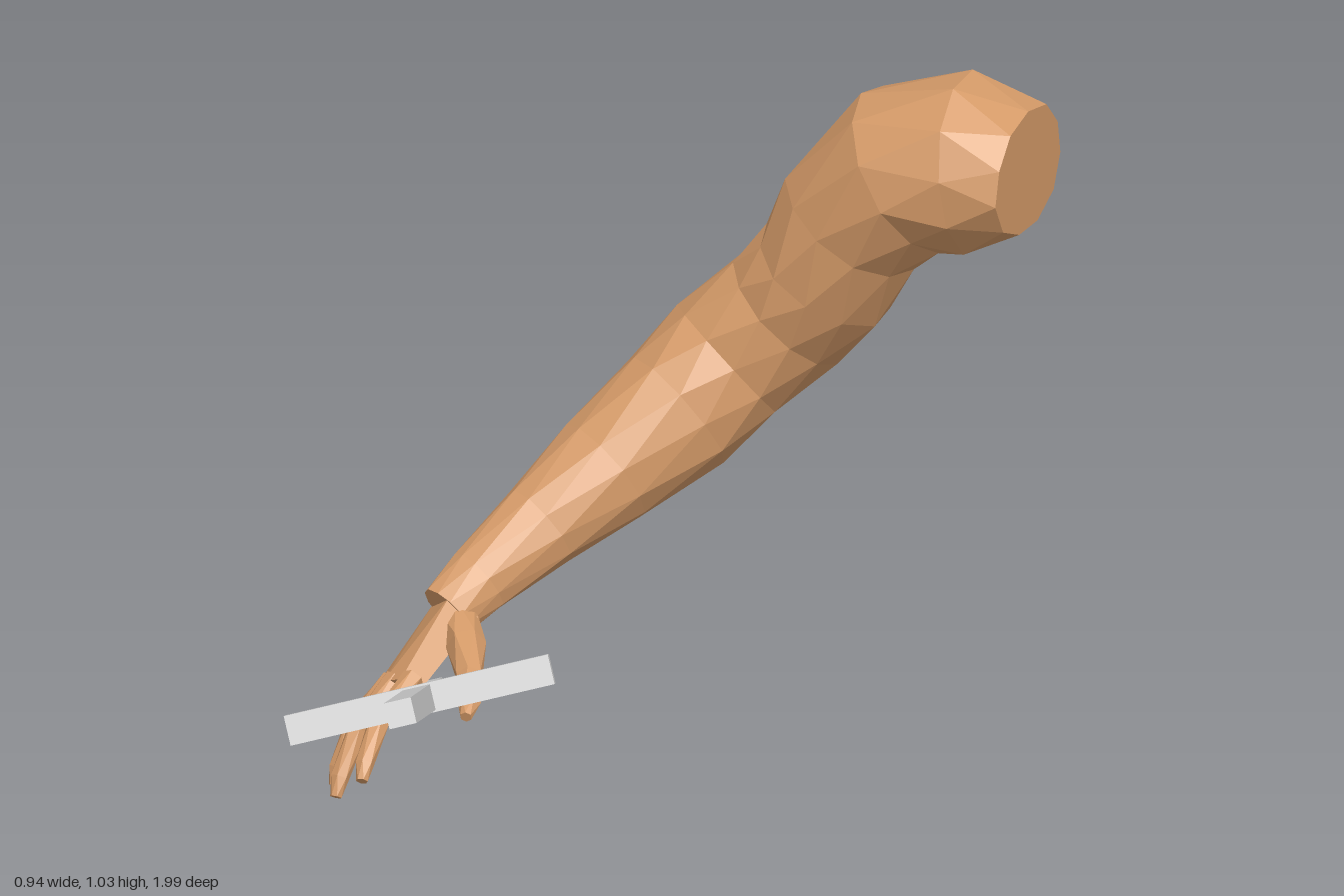
import * as THREE from 'three';
import { ConvexGeometry } from 'three/addons/geometries/ConvexGeometry.js';

const V = (x, y, z) => new THREE.Vector3(x, y, z);

// Closed tube through sections [x, y, z, radius across, radius deep]
function loft(sections, ref, sides, lump = 0) {
  const centres = sections.map(s => V(s[0], s[1], s[2]));
  const pos = [], index = [], last = sections.length - 1;
  sections.forEach((s, i) => {
    const t = centres[Math.min(i + 1, last)].clone().sub(centres[Math.max(i - 1, 0)]).normalize();
    const u = t.clone().cross(ref).normalize();
    const v = t.clone().cross(u);
    for (let j = 0; j < sides; j++) {
      // offset alternate rings and vary the radius for faceted muscles
      const a = ((j + (i % 2) * 0.5) / sides) * Math.PI * 2;
      const k = 1.02 + lump * Math.sin(i * 2.3 + j * 1.9);
      const p = centres[i].clone()
        .addScaledVector(u, Math.cos(a) * s[3] * k)
        .addScaledVector(v, Math.sin(a) * (s[4] ?? s[3]) * k);
      pos.push(p.x, p.y, p.z);
    }
  });
  for (let i = 0; i < last; i++) {
    for (let j = 0; j < sides; j++) {
      const n = (j + 1) % sides;
      const a = i * sides + j, b = i * sides + n, c = a + sides, d = b + sides;
      if (i % 2) index.push(a, b, d, a, d, c);
      else index.push(a, b, c, b, d, c);
    }
  }
  const start = pos.length / 3, end = start + 1;
  pos.push(...centres[0].toArray(), ...centres[last].toArray());
  for (let j = 0; j < sides; j++) {
    const n = (j + 1) % sides;
    index.push(start, n, j, end, last * sides + j, last * sides + n);
  }
  const g = new THREE.BufferGeometry();
  g.setAttribute('position', new THREE.Float32BufferAttribute(pos, 3));
  g.setIndex(index);
  const flat = g.toNonIndexed();
  flat.computeVertexNormals();
  return flat;
}

export function createModel() {
  const model = new THREE.Group();
  const skin = new THREE.MeshStandardMaterial({ name: 'skin', color: 0xd49a68, flatShading: true });
  const metal = new THREE.MeshStandardMaterial({ name: 'pale metal', color: 0xd0d0d0, flatShading: true });
  const add = (parent, name, geo, mat) => {
    const m = new THREE.Mesh(geo, mat);
    m.name = name;
    parent.add(m);
    return m;
  };

  // Arm from the cut shoulder to the wrist
  const arm = new THREE.Group();
  arm.name = 'arm';
  model.add(arm);
  add(arm, 'shoulderToWrist', loft([
    [0.46, 0.905, -0.845, 0.095, 0.125],
    [0.37, 0.905, -0.85, 0.135, 0.145],
    [0.26, 0.88, -0.848, 0.135, 0.145],
    [0.18, 0.79, -0.842, 0.118, 0.128],
    [0.135, 0.70, -0.845, 0.112, 0.128],
    [0.07, 0.63, -0.845, 0.11, 0.122],
    [-0.01, 0.55, -0.81, 0.108, 0.115],
    [-0.07, 0.485, -0.745, 0.105, 0.105],
    [-0.15, 0.41, -0.65, 0.09, 0.085],
    [-0.22, 0.345, -0.555, 0.068, 0.06],
    [-0.285, 0.285, -0.46, 0.053, 0.04],
    [-0.315, 0.25, -0.405, 0.045, 0.035],
  ], V(0, 0, 1), 11, 0.025), skin);

  // Hand: palm hull between the wrist and four knuckles
  const hand = new THREE.Group();
  hand.name = 'hand';
  model.add(hand);
  const fingers = [
    ['indexFinger', V(-0.325, 0.18, -0.265), V(-0.35, 0.075, -0.12)],
    ['middleFinger', V(-0.36, 0.165, -0.285), V(-0.408, 0.025, -0.165)],
    ['ringFinger', V(-0.382, 0.145, -0.33), V(-0.437, 0.012, -0.24)],
    ['littleFinger', V(-0.385, 0.14, -0.38), V(-0.445, 0.02, -0.32)],
  ];
  const palmNormal = V(0.79, -0.58, -0.19).normalize();
  const palmPoints = [];
  const knuckles = fingers.map(f => f[1]);
  for (const c of [V(-0.285, 0.265, -0.395), V(-0.325, 0.235, -0.445), ...knuckles]) {
    const half = knuckles.includes(c) ? 0.017 : 0.027;
    for (const s of [-half, half]) palmPoints.push(c.clone().addScaledVector(palmNormal, s));
  }
  add(hand, 'palm', new ConvexGeometry(palmPoints), skin);

  // Fingers arch slightly away from the palm
  for (const [name, root, tip] of fingers) {
    const rows = [[-0.08, 0.018], [0.45, 0.017], [0.85, 0.014], [1, 0.009]].map(([t, r]) => {
      const p = root.clone().lerp(tip, t);
      p.addScaledVector(palmNormal, -0.018 * Math.sin(Math.PI * Math.max(t, 0)));
      return [p.x, p.y, p.z, r];
    });
    add(hand, name, loft(rows, V(1, 0, 0), 6), skin);
  }
  add(hand, 'thumb', loft([
    [-0.305, 0.24, -0.42, 0.032],
    [-0.265, 0.222, -0.35, 0.03],
    [-0.235, 0.2, -0.28, 0.021],
    [-0.215, 0.18, -0.225, 0.017],
    [-0.21, 0.17, -0.195, 0.009],
  ], V(1, 0, 0), 6), skin);

  // Sword: local z runs along the blade, local x along the guard
  const sword = new THREE.Group();
  sword.name = 'sword';
  model.add(sword);
  const tip = V(0.103, 0.653, 0.985), pommel = V(-0.38, 0.077, -0.475);
  const zAxis = tip.clone().sub(pommel).normalize();
  const yAxis = zAxis.clone().cross(V(0.37, 0.095, -0.145)).normalize();
  const xAxis = yAxis.clone().cross(zAxis);
  sword.quaternion.setFromRotationMatrix(new THREE.Matrix4().makeBasis(xAxis, yAxis, zAxis));
  const centre = V(-0.268, 0.207, -0.15);
  sword.position.copy(centre);
  const bladeLength = centre.distanceTo(tip), gripLength = centre.distanceTo(pommel);
  add(sword, 'blade', new THREE.BoxGeometry(0.042, 0.04, bladeLength), metal).position.z = bladeLength / 2;
  add(sword, 'grip', new THREE.BoxGeometry(0.062, 0.044, gripLength), metal).position.z = -gripLength / 2;
  add(sword, 'guard', new THREE.BoxGeometry(0.41, 0.046, 0.07), metal);
  return model;
}
